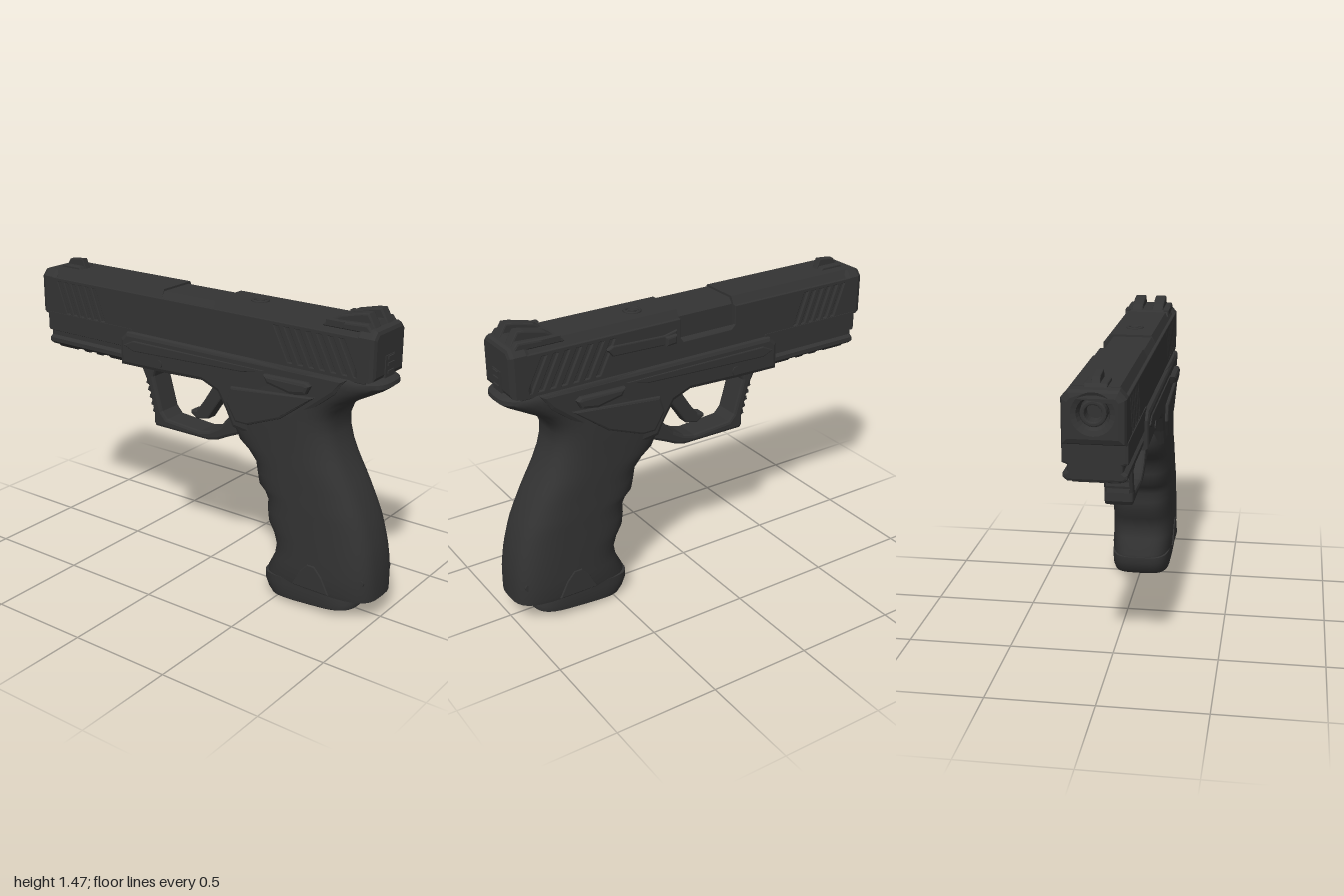
import * as THREE from 'three';
import { toCreasedNormals } from 'three/addons/utils/BufferGeometryUtils.js';

const charcoal = new THREE.MeshStandardMaterial({ color: 0x333333 });
charcoal.name = 'charcoal';

const v2 = (pts) => pts.map(([a, b]) => new THREE.Vector2(a, b));

export function createModel() {
  const model = new THREE.Group();
  model.name = 'pistol';

  const add = (name, geo, x = 0, y = 0, z = 0) => {
    const mesh = new THREE.Mesh(geo, charcoal);
    mesh.name = name;
    mesh.position.set(x, y, z);
    model.add(mesh);
    return mesh;
  };
  const extrude = (pts, depth, bevel, holes) => {
    const shape = new THREE.Shape(v2(pts));
    holes.forEach((h) => shape.holes.push(new THREE.Path(v2(h))));
    return new THREE.ExtrudeGeometry(shape, {
      depth: depth - 2 * bevel, bevelEnabled: bevel > 0, bevelThickness: bevel,
      bevelSize: bevel, bevelOffset: -bevel, bevelSegments: 2,
    }).translate(0, 0, bevel);
  };
  // Side outline of [z, y] points, running from x0 to x1
  const sideExt = (name, pts, x0, x1, bevel = 0, holes = []) =>
    add(name, extrude(pts, x1 - x0, bevel, holes).rotateY(-Math.PI / 2), x1);
  // Cross-section of [x, y] points, running from z0 to z1
  const longExt = (name, pts, z0, z1, bevel = 0, holes = []) =>
    add(name, extrude(pts, z1 - z0, bevel, holes), 0, 0, z0);
  const mirrored = (half) => [...half, ...half.map(([x, y]) => [-x, y]).reverse()];
  const box = (name, w, h, d, x, y, z) => add(name, new THREE.BoxGeometry(w, h, d), x, y, z);
  const sidePin = (name, r, x, y, z) =>
    add(name, new THREE.CylinderGeometry(r, r, 0.012, 16).rotateZ(Math.PI / 2), x, y, z);

  // Rounded-box rings stacked upward; rows are [y, zBack, zFront, halfWidth]
  const loft = (name, rows, power, tilt = 0) => {
    const n = 40, pos = [], idx = [];
    const round = (v) => Math.sign(v) * Math.abs(v) ** (2 / power);
    rows.forEach(([y, zb, zf, hw]) => {
      for (let i = 0; i < n; i++) {
        const t = (i / n) * Math.PI * 2;
        const z = (zb + zf) / 2 + ((zb - zf) / 2) * round(Math.sin(t));
        pos.push(hw * round(Math.cos(t)), y + tilt * (z - 0.46), z);
      }
    });
    const last = rows.length - 1;
    [rows[0], rows[last]].forEach(([y, zb, zf]) => {
      const z = (zb + zf) / 2;
      pos.push(0, y + tilt * (z - 0.46), z);
    });
    const cap = rows.length * n;
    for (let i = 0; i < n; i++) {
      const k = (i + 1) % n;
      for (let j = 0; j < last; j++) {
        const a = j * n + i, b = j * n + k;
        idx.push(a, a + n, b, b, a + n, b + n);
      }
      idx.push(cap, i, k, cap + 1, last * n + k, last * n + i);
    }
    const geo = new THREE.BufferGeometry();
    geo.setAttribute('position', new THREE.Float32BufferAttribute(pos, 3));
    geo.setIndex(idx);
    return add(name, toCreasedNormals(geo, 0.7));
  };

  // Grip with finger grooves, flowing up into the rear tang
  loft('grip', [
    [0.11, 1.0, 0.41, 0.158], [0.13, 1.0, 0.41, 0.163], [0.21, 0.998, 0.45, 0.165],
    [0.27, 0.992, 0.46, 0.165], [0.33, 0.983, 0.44, 0.164], [0.38, 0.972, 0.41, 0.164],
    [0.44, 0.955, 0.402, 0.163], [0.49, 0.938, 0.405, 0.163], [0.53, 0.92, 0.385, 0.163],
    [0.56, 0.907, 0.35, 0.162], [0.62, 0.877, 0.338, 0.162], [0.67, 0.85, 0.33, 0.162],
    [0.72, 0.822, 0.285, 0.162], [0.76, 0.802, 0.23, 0.162], [0.82, 0.775, 0.2, 0.163],
    [0.88, 0.757, 0.19, 0.165], [0.94, 0.752, 0.2, 0.166], [1.0, 0.775, 0.2, 0.164],
    [1.05, 0.835, 0.2, 0.16], [1.09, 0.91, 0.2, 0.158], [1.125, 0.975, 0.2, 0.158],
    [1.145, 1.0, 0.2, 0.158], [1.165, 0.998, 0.2, 0.157], [1.178, 0.975, 0.22, 0.15],
  ], 3.4);
  loft('magazineBase', [
    [0, 0.88, 0.48, 0.135], [0.012, 0.905, 0.445, 0.152], [0.04, 0.91, 0.425, 0.158],
    [0.085, 0.89, 0.405, 0.158], [0.12, 0.88, 0.405, 0.158],
  ], 4, 0.08);

  // Frame, dust cover and accessory rail
  sideExt('frame', [
    [0.85, 1.178], [-0.41, 1.178], [-0.45, 1.14], [-0.45, 1.0], [-0.2, 1.005], [0.06, 1.015],
    [0.15, 0.98], [0.2, 0.9], [0.24, 0.82], [0.4, 0.8], [0.65, 0.98], [0.8, 1.1],
  ], -0.158, 0.158, 0.022);
  longExt('dustCover', mirrored([
    [0.14, 1.19], [0.14, 1.095], [0.118, 1.085], [0.118, 1.062],
    [0.136, 1.05], [0.136, 1.03], [0.118, 1.015],
  ]), -0.96, -0.38, 0.012);
  [[-0.38, -0.57], [-0.615, -0.66], [-0.7, -0.745], [-0.79, -0.92]].forEach(([a, b]) =>
    longExt('railTooth', mirrored([[0.125, 1.03], [0.1, 1.0]]), b, a, 0.004));

  // Trigger guard and trigger
  sideExt('triggerGuard', [
    [0.4, 0.74], [0.22, 0.755], [0.14, 0.72], [0.09, 0.695], [0.035, 0.68], [-0.3, 0.68],
    [-0.312, 0.7], [-0.31, 0.745], [-0.345, 0.89], [-0.385, 0.97], [-0.47, 1.0],
    [-0.47, 1.05], [0.3, 1.05],
  ], -0.07, 0.07, 0.014, [[
    [0.195, 0.92], [0.15, 0.98], [0.05, 1.0], [-0.26, 1.005], [-0.3, 0.985], [-0.312, 0.94],
    [-0.262, 0.765], [-0.23, 0.73], [-0.02, 0.715], [0.04, 0.73], [0.1, 0.765], [0.17, 0.845],
  ]]);
  for (let i = 0; i < 5; i++) {
    const ridge = box('guardRidge', 0.11, 0.02, 0.03, 0, 0.755 + i * 0.036, -0.312 - i * 0.01);
    ridge.rotation.x = 0.25;
  }
  sideExt('trigger', [
    [0.1, 1.03], [0.125, 0.97], [0.17, 0.935], [0.165, 0.915], [0.09, 0.9], [0.045, 0.835],
    [0.005, 0.775], [-0.06, 0.76], [-0.1, 0.785], [-0.1, 0.8], [-0.065, 0.805], [-0.02, 0.865],
    [0.035, 0.95], [0.05, 1.03],
  ], -0.035, 0.035, 0.008);

  // Details repeated on both sides of the frame
  const onSide = (s, name, pts, a, b, bevel) =>
    sideExt(name, pts, s > 0 ? a : -b, s > 0 ? b : -a, bevel);
  for (const s of [1, -1]) {
    onSide(s, 'sidePanel', [
      [0.7, 1.07], [0.24, 1.03], [0.215, 0.95], [0.27, 0.86], [0.34, 0.86], [0.52, 0.93],
    ], 0.135, 0.174, 0.012);
    onSide(s, 'thumbLever', [
      [0.68, 1.12], [0.66, 1.135], [0.43, 1.13], [0.45, 1.09], [0.58, 1.065], [0.66, 1.08],
    ], 0.14, 0.187, 0.016);
    onSide(s, 'frameRib', [
      [0.42, 1.14], [-0.36, 1.14], [-0.42, 1.11], [-0.36, 1.085], [0.3, 1.11],
    ], 0.145, 0.164, 0.006);
    onSide(s, 'baseArch', [
      [0.81, 0.12], [0.77, 0.2], [0.73, 0.245], [0.69, 0.245], [0.65, 0.2], [0.61, 0.12],
    ], 0.155, 0.17, 0.005);
    sidePin('takedownPin', 0.022, s * 0.157, 1.05, -0.2);
    sidePin('gripPin', 0.02, s * 0.122, 0.21, 0.95);
  }

  // Slide core, narrowed at the ejection port
  const core = [[0.122, 1.17], [0.122, 1.37], [0.1, 1.412]];
  longExt('slideRear', mirrored(core), 0.105, 0.92);
  longExt('slideFront', mirrored(core), -0.92, -0.205);
  longExt('slideMiddle', [
    [-0.122, 1.17], [0.122, 1.17], [0.122, 1.26], [0.106, 1.27], [0.106, 1.375],
    [0.085, 1.402], [-0.1, 1.402], [-0.122, 1.37],
  ], -0.205, 0.105);

  // Side walls with slanted grip slots and the ejection port cut out
  const slot = (z, lean) => [
    [z, 1.195], [z - lean, 1.355], [z - lean - 0.024, 1.355], [z - 0.024, 1.195],
  ];
  const slots = [];
  for (let i = 0; i < 7; i++) slots.push(slot(0.9 - i * 0.057, 0.08));
  for (let i = 0; i < 6; i++) slots.push(slot(-0.565 - i * 0.047, 0.06));
  const port = [[-0.205, 1.375], [-0.205, 1.28], [-0.185, 1.26], [0.09, 1.26], [0.105, 1.28], [0.105, 1.375]];
  const wall = (notch) => [[0.93, 1.17], [-0.94, 1.17], [-0.94, 1.375], ...notch, [0.93, 1.375]];
  sideExt('slideWallLeft', wall(port), 0.118, 0.136, 0.004, slots);
  sideExt('slideWallRight', wall([]), -0.136, -0.118, 0.004, slots);

  // Slide nose with bore, barrel and guide rod
  const ring = (r, y) => Array.from({ length: 24 }, (_, i) => {
    const t = (i / 24) * Math.PI * 2;
    return [r * Math.cos(t), y + r * Math.sin(t)];
  });
  const ends = [[0.136, 1.18], [0.136, 1.375], [0.105, 1.41]];
  longExt('slideNose', mirrored(ends), -1.0, -0.89, 0.03, [ring(0.062, 1.315)]);
  longExt('barrel', ring(0.056, 1.315), -0.99, -0.88, 0.006, [ring(0.036, 1.315)]);
  longExt('guideRod', ring(0.028, 1.215), -0.985, -0.9, 0.006);
  longExt('slideTail', mirrored(ends), 0.87, 0.972, 0.022);
  box('rearPlate', 0.08, 0.1, 0.012, 0, 1.235, 0.971);
  for (const y of [1.21, 1.245, 1.275]) box('rearPlateRib', 0.05, 0.014, 0.01, 0, y, 0.979);

  // Slide catch on the left
  sideExt('slideCatch', [[0.5, 1.31], [0.47, 1.325], [0.2, 1.315], [0.13, 1.33], [0.13, 1.265], [0.47, 1.275]], 0.12, 0.146, 0.006);
  sideExt('catchKnob', [[0.2, 1.31], [0.14, 1.315], [0.14, 1.27], [0.2, 1.265]], 0.13, 0.165, 0.01);

  // Sights and top screw
  sideExt('rearSightBase', [[0.95, 1.39], [0.92, 1.43], [0.72, 1.42], [0.69, 1.39]], -0.115, 0.115, 0.01);
  for (const s of [1, -1]) {
    onSide(s, 'rearSightPost', [
      [0.945, 1.4], [0.905, 1.47], [0.87, 1.467], [0.77, 1.443], [0.7, 1.4],
    ], 0.026, 0.084, 0.008);
    box('rearSightBlock', 0.028, 0.025, 0.09, s * 0.103, 1.41, 0.76);
  }
  sideExt('frontSight', [[-0.79, 1.4], [-0.815, 1.46], [-0.9, 1.452], [-0.935, 1.4]], -0.018, 0.018, 0.004);
  sideExt('frontSightBase', [[-0.79, 1.4], [-0.81, 1.425], [-0.92, 1.425], [-0.94, 1.4]], -0.05, 0.05, 0.006);
  add('topScrewRing', new THREE.TorusGeometry(0.036, 0.008, 8, 24).rotateX(Math.PI / 2), 0.005, 1.412, 0.285);
  add('topScrew', new THREE.CylinderGeometry(0.022, 0.022, 0.012, 6), 0.005, 1.412, 0.285);

  return model;
}
